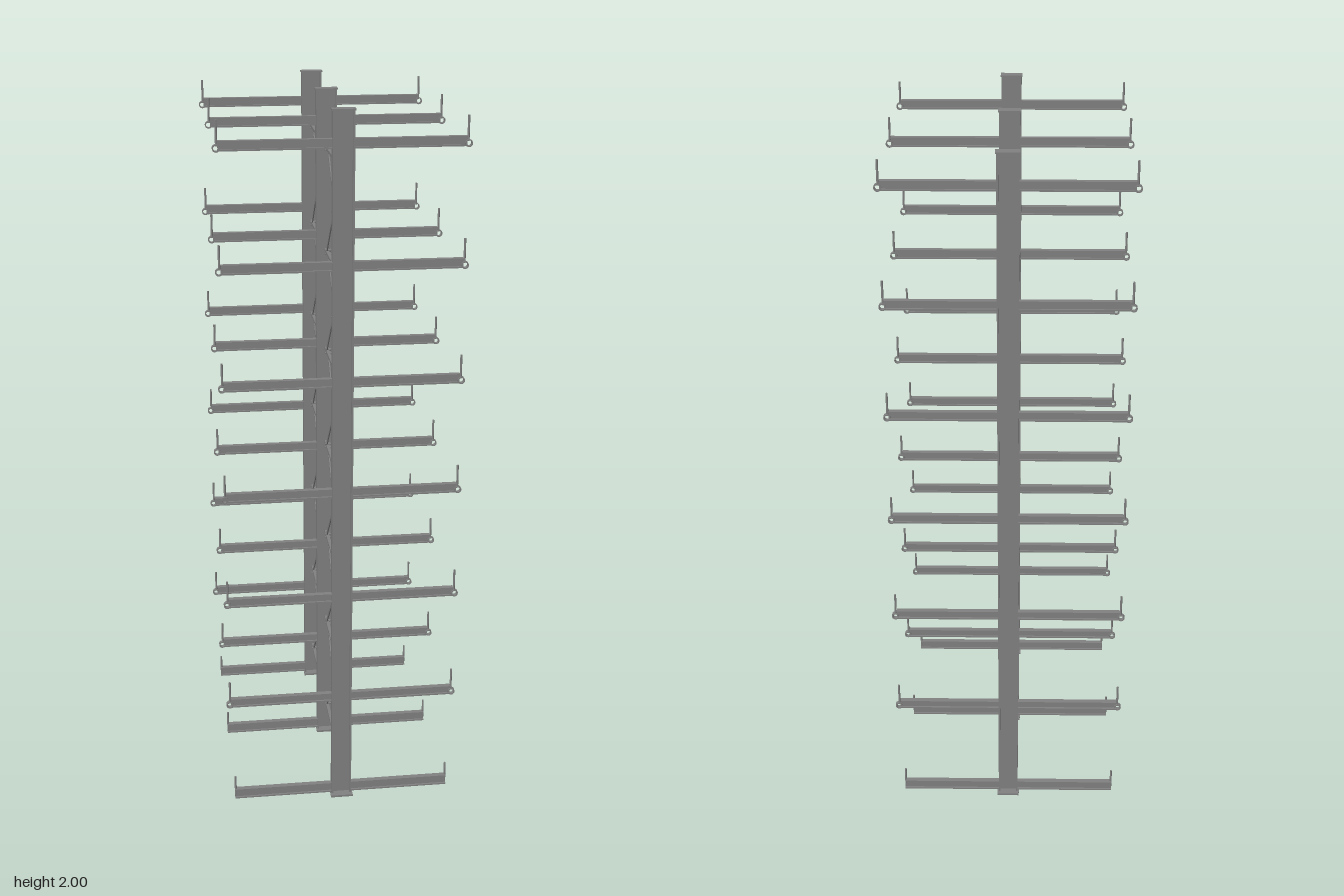
import * as THREE from 'three';

const steel = new THREE.MeshStandardMaterial({ color: 0x808080, flatShading: true });
const COLUMN_Z = [-0.36, 0, 0.36];
const ARM_Y = Array.from({ length: 6 }, (_, i) => 0.325 + i * 0.3175);
const BRACE_Y = Array.from({ length: 7 }, (_, i) => 0.104 + i * 0.2896);

function add(parent, name, geometry, x = 0, y = 0, z = 0) {
  const mesh = new THREE.Mesh(geometry, steel);
  mesh.name = name;
  mesh.position.set(x, y, z);
  parent.add(mesh);
  return mesh;
}

// I-section: flanges at top and bottom of the outline, extruded along z and centred
function iBeam(width, depth, web, flange, length) {
  const w = width / 2, d = depth / 2, t = web / 2, f = d - flange;
  const half = [[w, -d], [w, -f], [t, -f], [t, f], [w, f], [w, d]];
  const points = [...half, ...half.map(([x, y]) => [-x, -y])];
  const shape = new THREE.Shape(points.map(([x, y]) => new THREE.Vector2(x, y)));
  const geometry = new THREE.ExtrudeGeometry(shape, { depth: length, bevelEnabled: false });
  return geometry.translate(0, 0, -length / 2);
}

// Short open ring that holds the stop pin at an arm tip
function pinRing() {
  const shape = new THREE.Shape().absarc(0, 0, 0.01, 0, Math.PI * 2);
  shape.holes.push(new THREE.Path().absarc(0, 0, 0.007, 0, Math.PI * 2, true));
  return new THREE.ExtrudeGeometry(shape, { depth: 0.012, bevelEnabled: false, curveSegments: 10 })
    .translate(0, 0, -0.006);
}

// Bolt along x with a wider nut near its tip
function boltGeometry() {
  const profile = [[0, -0.008], [0.002, -0.008], [0.002, 0.004], [0.0045, 0.004],
    [0.0045, 0.008], [0.002, 0.008], [0.002, 0.013], [0, 0.013]];
  return new THREE.LatheGeometry(profile.map(([r, y]) => new THREE.Vector2(r, y)), 8)
    .rotateZ(-Math.PI / 2);
}

function buildFrame(z) {
  const frame = new THREE.Group();
  frame.name = 'uprightFrame';
  frame.position.z = z;

  // Column with its flanges facing the arms, between a foot plate and a cap
  const column = iBeam(0.027, 0.057, 0.005, 0.005, 1.99).rotateX(Math.PI / 2).rotateY(Math.PI / 2);
  add(frame, 'column', column, 0, 1.001, 0);
  add(frame, 'footPlate', new THREE.BoxGeometry(0.064, 0.006, 0.052), 0, 0.003, 0);
  add(frame, 'columnCap', new THREE.BoxGeometry(0.062, 0.004, 0.029), 0, 1.998, 0);

  const baseLength = 0.286;
  const base = iBeam(0.015, 0.03, 0.004, 0.004, baseLength).rotateY(Math.PI / 2);
  const armLength = 0.291;
  const arm = iBeam(0.015, 0.026, 0.004, 0.004, armLength).rotateY(Math.PI / 2);
  const ring = pinRing();
  const pin = new THREE.CylinderGeometry(0.003, 0.003, 0.066, 8);
  const basePin = new THREE.CylinderGeometry(0.003, 0.003, 0.06, 8);

  for (const side of [-1, 1]) {
    add(frame, 'baseArm', base, side * (0.026 + baseLength / 2), 0.022, 0);
    add(frame, 'baseStopPin', basePin, side * 0.31, 0.047, 0);
    for (const y of ARM_Y) {
      add(frame, 'arm', arm, side * (0.026 + armLength / 2), y, 0);
      add(frame, 'pinRing', ring, side * 0.321, y - 0.006, 0);
      add(frame, 'stopPin', pin, side * 0.32, y + 0.032, 0);
    }
  }
  return frame;
}

function buildBay(z) {
  const bay = new THREE.Group();
  bay.name = 'bracingBay';
  bay.position.z = z;
  const strut = new THREE.BoxGeometry(0.009, 0.008, 0.356);
  const bolt = boltGeometry();

  // Horizontal struts
  for (const y of BRACE_Y) add(bay, 'strut', strut, 0, y, 0);

  // Crossed diagonals, bolted at the ends and where they cross
  for (let i = 0; i < 6; i++) {
    const low = BRACE_Y[i] + 0.005, high = BRACE_Y[i + 1] - 0.005;
    const rise = high - low, run = 0.29, mid = (low + high) / 2;
    const bar = new THREE.BoxGeometry(0.003, 0.008, Math.hypot(rise, run));
    for (const side of [-1, 1]) {
      const diagonal = add(bay, 'diagonal', bar, side * 0.0018, mid, 0);
      diagonal.rotation.x = side * Math.atan2(rise, run);
      for (const y of [low, high]) add(bay, 'bolt', bolt, 0, y, side * 0.145);
    }
    add(bay, 'bolt', bolt, 0, mid, 0);
  }
  return bay;
}

export function createModel() {
  const rack = new THREE.Group();
  rack.name = 'cantileverRack';
  for (const z of COLUMN_Z) rack.add(buildFrame(z));
  for (const z of [-0.18, 0.18]) rack.add(buildBay(z));
  return rack;
}
